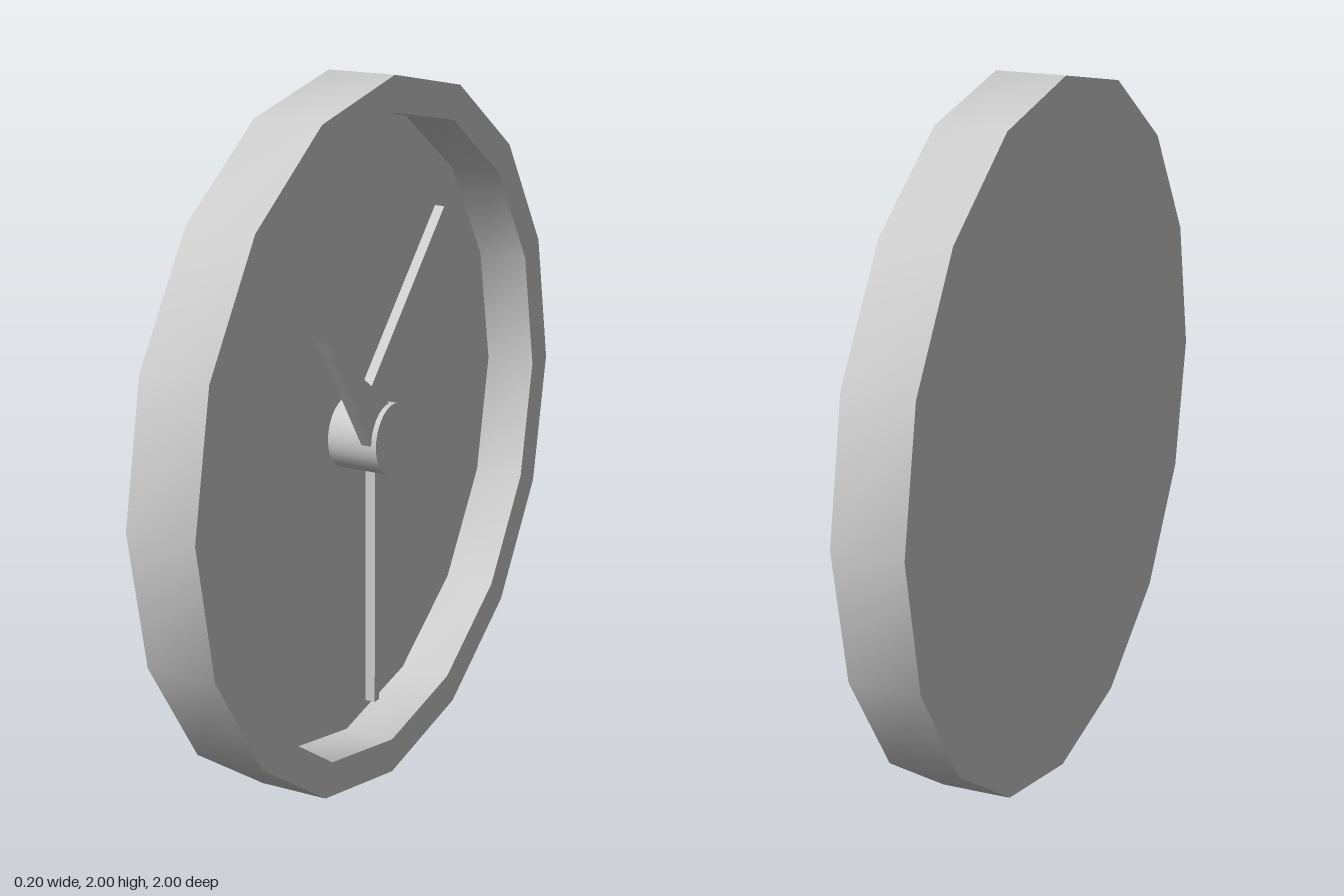
import * as THREE from 'three';
import { toCreasedNormals } from 'three/addons/utils/BufferGeometryUtils.js';

const material = new THREE.MeshStandardMaterial({ color: 0xcccccc });
const CENTRE_Y = 1;

function addPart(group, name, geometry) {
  const mesh = new THREE.Mesh(geometry, material);
  mesh.name = name;
  mesh.position.y = CENTRE_Y;
  group.add(mesh);
}

// A flat hand cut from an outline (seen from the dial side), facing +x
function handGeometry(points, x, thickness = 0.03) {
  const shape = new THREE.Shape(points.map(([u, v]) => new THREE.Vector2(u, v)));
  return new THREE.ExtrudeGeometry(shape, { depth: thickness, bevelEnabled: false })
    .rotateY(Math.PI / 2)
    .translate(x, 0, 0);
}

// Triangle from a base hidden in the hub to a sharp tip
function pointer(u, v, halfWidth) {
  const length = Math.hypot(u, v);
  const pu = (-v / length) * halfWidth;
  const pv = (u / length) * halfWidth;
  return [[-pu, -pv], [u, v], [pu, pv]];
}

export function createModel() {
  const clock = new THREE.Group();
  clock.name = 'wallClock';

  // Case: back, sixteen-sided rim and recessed dial in one profile
  const profile = [[0, -0.1], [1, -0.1], [1, 0.1], [0.9, 0.1], [0.9, -0.05], [0, -0.05]]
    .map(([r, h]) => new THREE.Vector2(r, h));
  const caseGeometry = new THREE.LatheGeometry(profile, 16).rotateZ(-Math.PI / 2);
  addPart(clock, 'case', toCreasedNormals(caseGeometry, Math.PI / 6));

  // Hub standing on the dial
  const hub = new THREE.CylinderGeometry(0.1, 0.1, 0.15, 32)
    .rotateZ(-Math.PI / 2)
    .translate(0.025, 0, 0);
  addPart(clock, 'hub', hub);

  // Hands, stacked along the hub
  addPart(clock, 'minuteHand', handGeometry(pointer(0.46, 0.56, 0.072), -0.015));
  addPart(clock, 'secondHand', handGeometry(
    [[-0.013, -0.79], [0.013, -0.79], [0.013, 0], [-0.013, 0]], 0.02));
  addPart(clock, 'hourHand', handGeometry(pointer(-0.34, 0.35, 0.082), 0.055));

  return clock;
}
